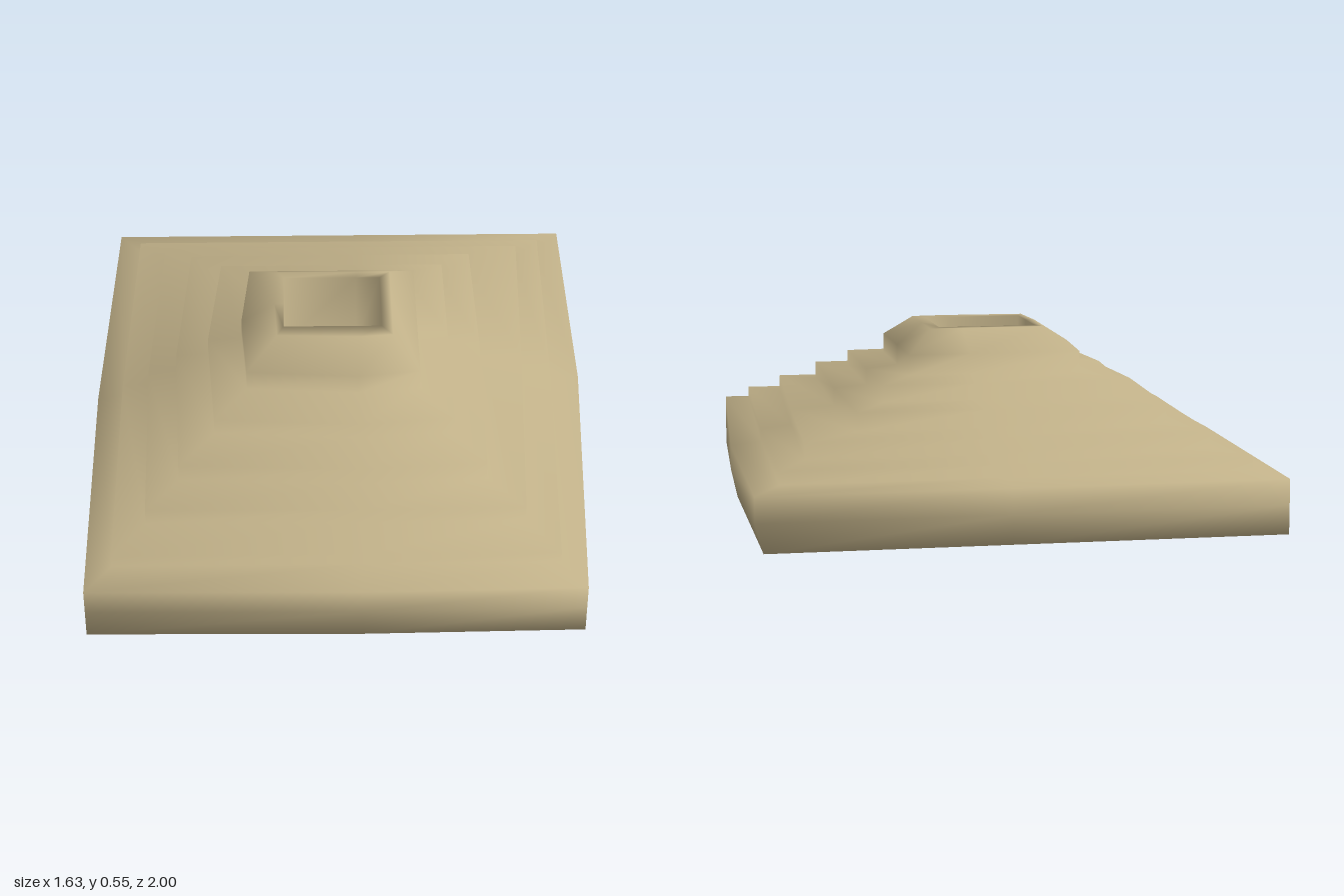
import * as THREE from 'three';

// Eight-point outline: four corners plus a bowed middle on each side.
// xl/xlm: left corner and middle, xb/xm/xf: right back, middle and front,
// zb: back, zf: front corners, zfm: front middle.
function ring(y, [xl, xlm, xb, xm, xf, zb, zf, zfm]) {
  const cx = (xl + xf) / 2 + 0.08;
  return [
    [xl, y, zb], [xlm, y, 0], [xl, y, zf], [cx, y, zfm],
    [xf, y, zf], [xm, y, -0.1 * zf], [xb, y, zb], [cx, y, zb],
  ];
}

// Smooth skin through a stack of rings, closed by a fan at each end.
function skin(rings) {
  const n = 8;
  const pos = rings.flat(2);
  const index = [];
  for (let r = 0; r < rings.length - 1; r++) {
    for (let i = 0; i < n; i++) {
      const a = r * n + i, b = r * n + (i + 1) % n;
      index.push(a, b, b + n, a, b + n, a + n);
    }
  }
  const cap = (r, flip) => {
    const c = pos.length / 3;
    const mid = [0, 1, 2].map(k => rings[r].reduce((s, p) => s + p[k], 0) / n);
    pos.push(...mid);
    for (let i = 0; i < n; i++) {
      const a = r * n + i, b = r * n + (i + 1) % n;
      index.push(c, ...(flip ? [b, a] : [a, b]));
    }
  };
  cap(0, true);
  cap(rings.length - 1, false);
  const g = new THREE.BufferGeometry();
  g.setAttribute('position', new THREE.Float32BufferAttribute(pos, 3));
  g.setIndex(index);
  g.computeVertexNormals();
  return g;
}

export function createModel() {
  const group = new THREE.Group();
  group.name = 'steppedPyramid';
  const material = new THREE.MeshStandardMaterial({ color: 0xc0b088 });

  // Terraces: bottom height, top height, outline
  const tiers = [
    [0.09, 0.17, [-0.80, -0.82, 0.815, 0.81, 0.74, -1.0, 0.99, 1.0]],
    [0.18, 0.22, [-0.72, -0.735, 0.73, 0.71, 0.665, -0.88, 0.88, 0.88]],
    [0.23, 0.28, [-0.62, -0.645, 0.64, 0.61, 0.565, -0.75, 0.735, 0.74]],
    [0.287, 0.345, [-0.52, -0.55, 0.46, 0.465, 0.45, -0.6, 0.595, 0.62]],
    [0.352, 0.405, [-0.41, -0.443, 0.355, 0.355, 0.355, -0.445, 0.438, 0.468]],
    [0.415, 0.48, [-0.308, -0.33, 0.25, 0.25, 0.25, -0.298, 0.285, 0.312]],
  ];
  const rings = [ring(0, [-0.80, -0.82, 0.79, 0.79, 0.74, -1.0, 0.99, 1.0])];
  for (const [y0, y1, outline] of tiers) rings.push(ring(y0, outline), ring(y1, outline));

  // Sloped crown, rim and sunken shaft
  rings.push(
    ring(0.55, [-0.21, -0.22, 0.165, 0.165, 0.165, -0.185, 0.18, 0.19]),
    ring(0.55, [-0.19, -0.19, 0.13, 0.13, 0.13, -0.15, 0.13, 0.13]),
    ring(0.30, [-0.185, -0.185, 0.13, 0.13, 0.13, -0.14, 0.13, 0.13]),
  );

  const body = new THREE.Mesh(skin(rings), material);
  body.name = 'terracedBody';
  group.add(body);
  return group;
}
